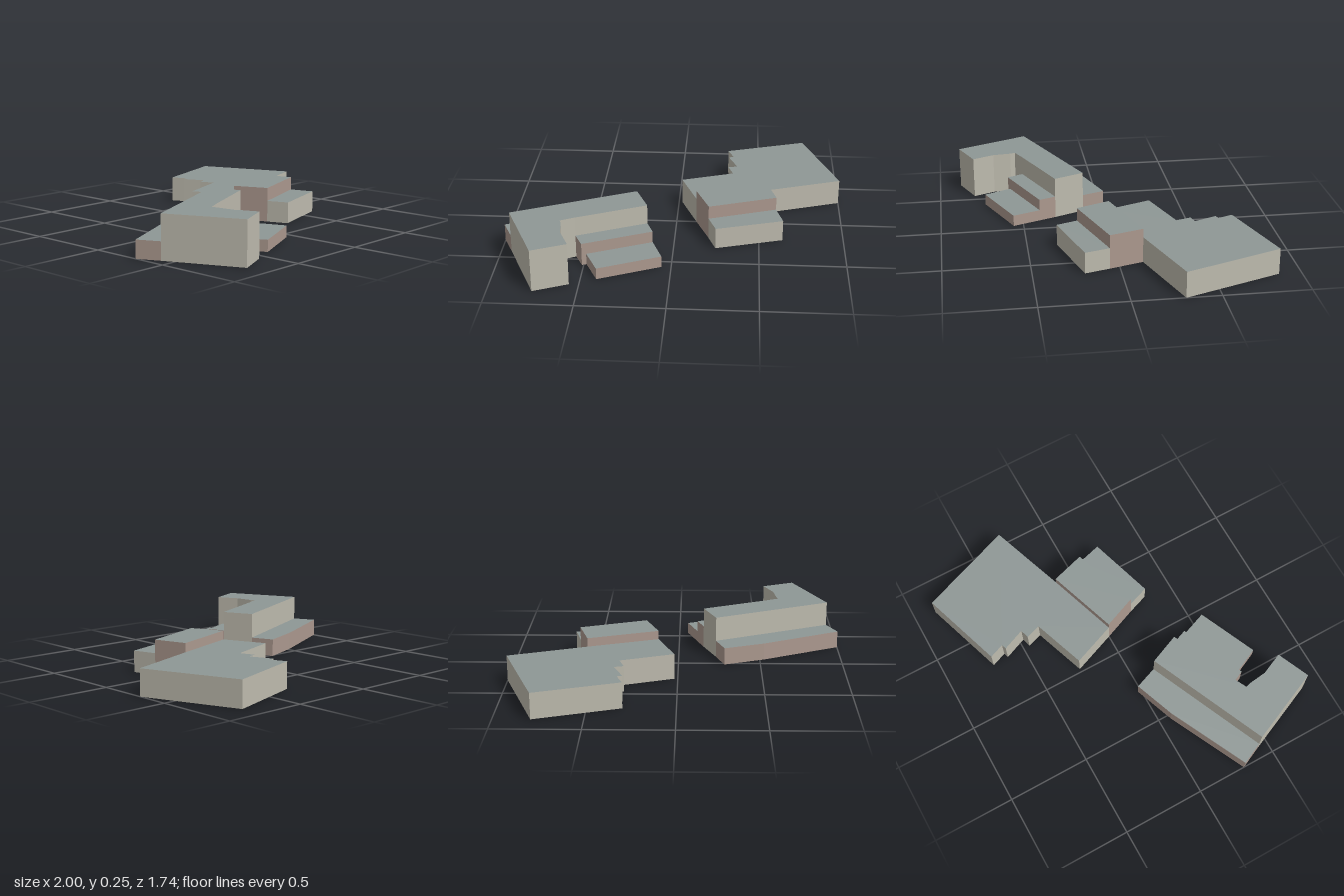
import * as THREE from 'three';

const mat = (name, color) => {
  const m = new THREE.MeshStandardMaterial({ color, side: THREE.DoubleSide });
  m.name = name;
  return m;
};

// One building volume, open underneath: flat roof plus upright walls.
// Plan points are [x, z]; the wall starting at point `shared` is left to the taller neighbour.
function volume(name, plan, height, wallMat, roofMat, shared = -1) {
  const group = new THREE.Group();
  group.name = name;

  const shape = new THREE.Shape(plan.map(([x, z]) => new THREE.Vector2(x, -z)));
  const roofGeo = new THREE.ShapeGeometry(shape).rotateX(-Math.PI / 2).translate(0, height, 0);
  const roof = new THREE.Mesh(roofGeo, roofMat);
  roof.name = name + 'Roof';

  const pos = [];
  plan.forEach(([ax, az], i) => {
    if (i === shared) return;
    const [bx, bz] = plan[(i + 1) % plan.length];
    pos.push(bx, 0, bz, ax, 0, az, ax, height, az);
    pos.push(bx, 0, bz, ax, height, az, bx, height, bz);
  });
  const wallGeo = new THREE.BufferGeometry();
  wallGeo.setAttribute('position', new THREE.Float32BufferAttribute(pos, 3));
  wallGeo.computeVertexNormals();
  const walls = new THREE.Mesh(wallGeo, wallMat);
  walls.name = name + 'Walls';

  group.add(roof, walls);
  return group;
}

export function createModel() {
  const model = new THREE.Group();
  model.name = 'buildings';
  const stone = mat('stone', 0xbebbae);
  const brick = mat('brick', 0xac998f);
  const slate = mat('slate', 0x8e9795);

  // Building on the +x side
  const east = new THREE.Group();
  east.name = 'eastBuilding';
  east.add(
    volume('eastHall', [
      [0.30, -0.71], [0.79, -0.87], [1.0, -0.30], [0.54, -0.14], [0.12, 0], [0.02, -0.26],
      [0.335, -0.37], [0.305, -0.46], [0.36, -0.475], [0.305, -0.61], [0.335, -0.62],
    ], 0.155, stone, slate, 3),
    volume('eastMiddleWing', [[0.12, 0], [0.54, -0.14], [0.60, 0.06], [0.20, 0.20]], 0.208, brick, slate),
    volume('eastFrontWing', [[0.20, 0.20], [0.60, 0.06], [0.64, 0.205], [0.245, 0.325]], 0.128, stone, slate, 0),
  );

  // Building on the -x side
  const west = new THREE.Group();
  west.name = 'westBuilding';
  west.add(
    volume('westHall', [
      [-0.94, 0.43], [-0.23, 0.115], [-0.155, 0.295], [-0.555, 0.47], [-0.635, 0.51],
      [-0.625, 0.54], [-0.612, 0.65], [-0.555, 0.78], [-0.75, 0.865],
    ], 0.255, stone, slate),
    volume('westBackWing', [
      [-1.0, 0.30], [-0.525, 0.07], [-0.28, -0.02], [-0.23, 0.115], [-0.94, 0.43],
    ], 0.105, brick, slate, 3),
    volume('westUpperTerrace', [
      [-0.155, 0.295], [-0.117, 0.395], [-0.51, 0.565], [-0.555, 0.47],
    ], 0.137, brick, slate, 3),
    volume('westLowerTerrace', [
      [-0.117, 0.395], [-0.055, 0.56], [-0.41, 0.717], [-0.485, 0.555],
    ], 0.068, brick, slate, 3),
  );

  model.add(east, west);
  return model;
}
